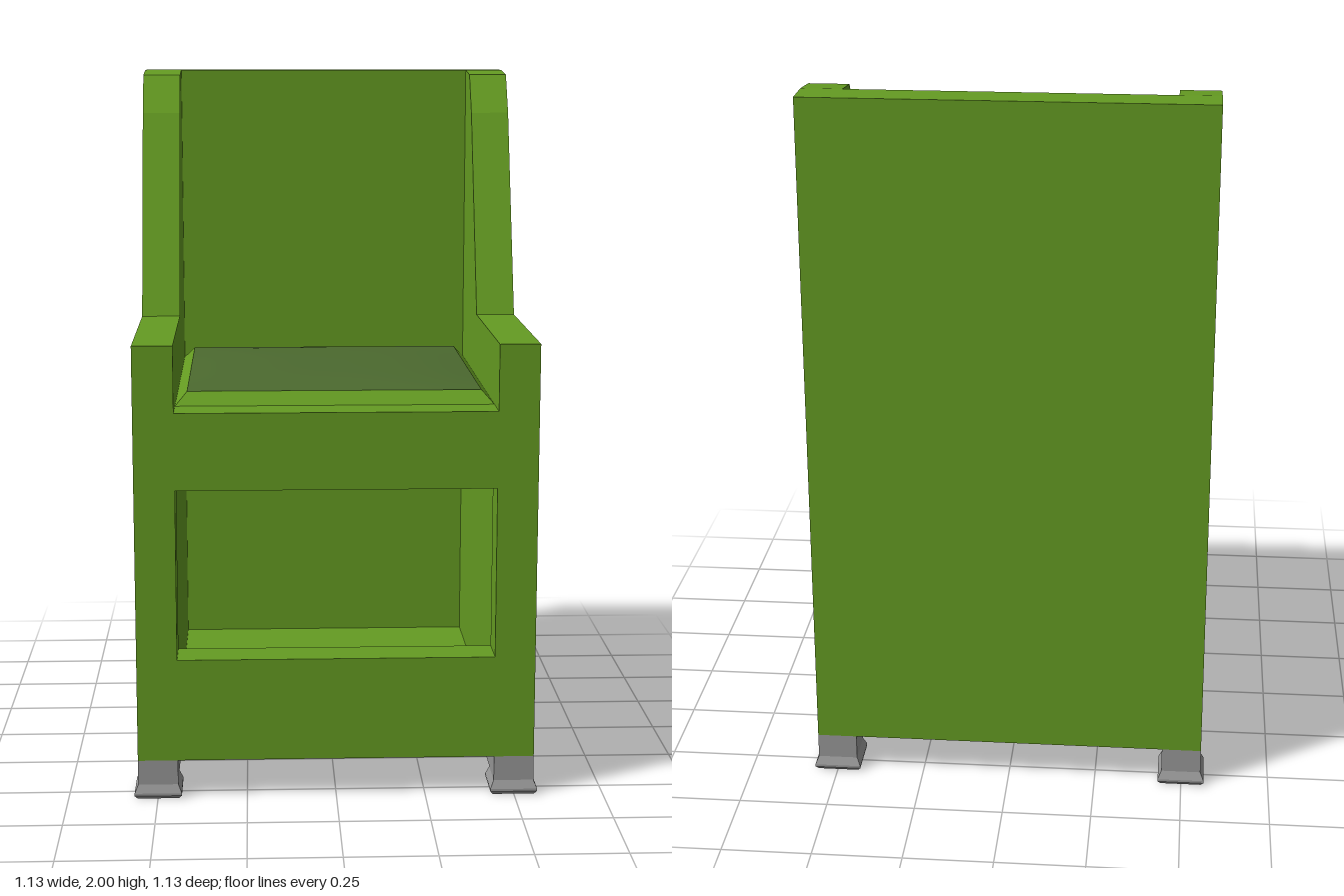
import * as THREE from 'three';

const OUT = 0.555; // half width and half depth of the body
const IN = 0.443;  // half width of the hollow inside
const T = OUT - IN;
const BASE = 0.115;

export function createModel() {
  const green = new THREE.MeshStandardMaterial({ color: 0x659c22, flatShading: true });
  green.name = 'green body';
  const olive = new THREE.MeshStandardMaterial({ color: 0x4c6a2f });
  olive.name = 'olive cushion';
  const grey = new THREE.MeshStandardMaterial({ color: 0x989898, flatShading: true });
  grey.name = 'grey feet';

  const model = new THREE.Group();
  model.name = 'armchair';

  function add(name, geometry, material, x = 0, y = 0, z = 0) {
    const mesh = new THREE.Mesh(geometry, material);
    mesh.name = name;
    mesh.position.set(x, y, z);
    model.add(mesh);
    return mesh;
  }

  // Box spanning y0..y1 and z0..z1, centred on x
  function slab(name, material, x, width, y0, y1, z0, z1) {
    add(name, new THREE.BoxGeometry(width, y1 - y0, z1 - z0), material, x, (y0 + y1) / 2, (z0 + z1) / 2);
  }

  // Square ring or block: a four-sided lathe from [half width, y] points
  function squareLathe(points) {
    const profile = points.map(([r, y]) => new THREE.Vector2(r * Math.SQRT2, y));
    return new THREE.LatheGeometry(profile, 4, Math.PI / 4);
  }

  // Side panels with armrest and sloping wing
  const sideShape = new THREE.Shape([
    [OUT, BASE], [OUT, 1.285], [-0.045, 1.285], [-0.265, 1.875],
    [-0.335, 1.988], [-0.45, 2], [-OUT, 2], [-OUT, BASE],
  ].map(([z, y]) => new THREE.Vector2(z, y)));
  const sideGeometry = new THREE.ExtrudeGeometry(sideShape, { depth: T, bevelEnabled: false });
  sideGeometry.rotateY(-Math.PI / 2);
  add('leftSide', sideGeometry, green, OUT);
  add('rightSide', sideGeometry, green, -IN);

  // Back, floor and seat board
  slab('back', green, 0, 2 * IN, BASE, 2, -OUT, -0.45);
  slab('floor', green, 0, 2 * IN, BASE, 0.2, -0.45, IN);
  slab('seatBoard', green, 0, 2 * IN, 1.0, 1.1, -0.45, IN);

  // Front panel with a wide opening
  const frontShape = new THREE.Shape([
    new THREE.Vector2(-IN, BASE), new THREE.Vector2(IN, BASE),
    new THREE.Vector2(IN, 1.1), new THREE.Vector2(-IN, 1.1),
  ]);
  const w = IN - 0.001;
  frontShape.holes.push(new THREE.Path([
    new THREE.Vector2(-w, 0.405), new THREE.Vector2(-w, 0.885),
    new THREE.Vector2(w, 0.885), new THREE.Vector2(w, 0.405),
  ]));
  add('frontPanel', new THREE.ExtrudeGeometry(frontShape, { depth: T, bevelEnabled: false }), green, 0, 0, IN);

  // Bevelled seat rim
  add('seatRim', squareLathe([[IN, 1.1], [0.41, 1.136]]), green);

  // Gently domed cushion top
  const cushion = new THREE.PlaneGeometry(0.82, 0.82, 16, 16);
  cushion.rotateX(-Math.PI / 2);
  const p = cushion.attributes.position;
  for (let i = 0; i < p.count; i++) {
    const u = p.getX(i) / 0.41, v = p.getZ(i) / 0.41;
    p.setY(i, 0.014 * (1 - Math.abs(u) ** 3) * (1 - Math.abs(v) ** 3));
  }
  cushion.computeVertexNormals();
  add('cushion', cushion, olive, 0, 1.136, 0);

  // Runners with flared feet at the corners
  const footGeometry = squareLathe([
    [0, 0.005], [0.058, 0.005], [0.066, 0.015], [0.066, 0.022], [0.056, 0.045], [0.056, BASE],
  ]);
  for (const sx of [1, -1]) {
    const side = sx > 0 ? 'left' : 'right';
    slab(side + 'Runner', grey, sx * (OUT + IN) / 2, T, 0.048, BASE, -OUT, OUT);
    for (const sz of [1, -1]) {
      add(side + (sz > 0 ? 'FrontFoot' : 'BackFoot'), footGeometry, grey,
        sx * (OUT + IN) / 2, 0, sz * (OUT + IN) / 2);
    }
  }
  return model;
}
